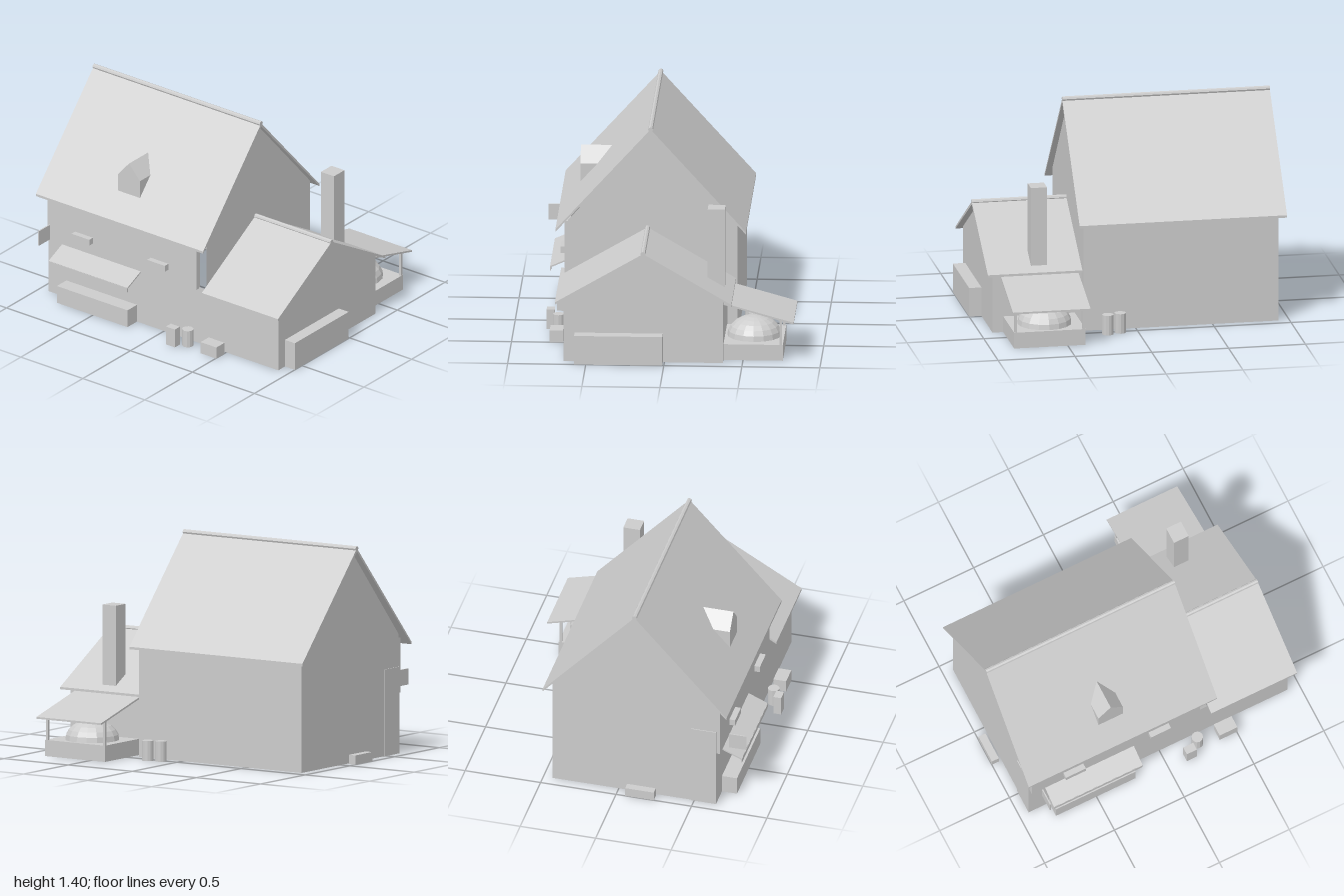
import * as THREE from 'three';

export function createModel() {
  const model = new THREE.Group();
  model.name = 'tavernHouse';
  const clay = new THREE.MeshStandardMaterial({ color: 0xcccccc, flatShading: true, side: THREE.DoubleSide });
  clay.name = 'pale grey clay';

  const add = (name, geometry) => {
    const mesh = new THREE.Mesh(geometry, clay);
    mesh.name = name;
    model.add(mesh);
    return mesh;
  };

  // Box given by its ranges; boxes standing on the ground are open below
  const box = (name, [x0, x1], [y0, y1], [z0, z1]) => {
    const g = new THREE.BoxGeometry(x1 - x0, y1 - y0, z1 - z0);
    if (y0 === 0) {
      const index = Array.from(g.index.array);
      index.splice(18, 6);
      g.setIndex(index);
      g.clearGroups();
    }
    g.translate((x0 + x1) / 2, (y0 + y1) / 2, (z0 + z1) / 2);
    return add(name, g);
  };

  // Solid with a (z, y) profile running along x
  const prism = (name, profile, x0, x1) => {
    const shape = new THREE.Shape(profile.map(([z, y]) => new THREE.Vector2(z, y)));
    const g = new THREE.ExtrudeGeometry(shape, { depth: x1 - x0, bevelEnabled: false });
    g.rotateY(-Math.PI / 2);
    g.translate(x1, 0, 0);
    return add(name, g);
  };

  // Thin convex wall polygon
  const panel = (name, points) => {
    const g = new THREE.BufferGeometry();
    const p = [];
    for (let i = 1; i < points.length - 1; i++) p.push(...points[0], ...points[i], ...points[i + 1]);
    g.setAttribute('position', new THREE.Float32BufferAttribute(p, 3));
    g.computeVertexNormals();
    return add(name, g);
  };

  const gable = (name, x, zBack, zFront, yWall, zRidge, yRidge) =>
    panel(name, [[x, 0, zFront], [x, 0, zBack], [x, yWall, zBack], [x, yRidge, zRidge], [x, yWall, zFront]]);

  const wall = (name, x0, x1, h, z) => {
    const p = [[x0, 0, z], [x1, 0, z], [x1, h, z], [x0, h, z]];
    return panel(name, z > 0 ? p : p.reverse());
  };

  // Folded roof sheet with a round ridge pole
  const roof = (name, x0, x1, zRidge, yRidge, zFront, zBack, yEave, t) => {
    prism(name, [
      [zFront, yEave], [zRidge, yRidge], [zBack, yEave],
      [zBack, yEave - t], [zRidge, yRidge - t * 1.4], [zFront, yEave - t],
    ], x0, x1);
    const g = new THREE.CylinderGeometry(0.016, 0.016, x1 - x0, 8);
    g.rotateZ(Math.PI / 2);
    g.translate((x0 + x1) / 2, yRidge - 0.002, zRidge);
    add(name + 'Ridge', g);
  };

  // Main house: open shell with overhanging upper front
  wall('mainFrontWall', -0.93, 0.34, 0.4, 0.645);
  wall('mainBackWall', -0.93, 0.34, 0.75, -0.44);
  for (const x of [-0.93, 0.34]) {
    panel('mainGable', [[x, 0, 0.645], [x, 0, -0.44], [x, 0.75, -0.44], [x, 1.37, 0.115], [x, 0.77, 0.645]]);
  }
  box('upperFront', [-0.925, 0.28], [0.39, 0.745], [0.635, 0.67]);
  roof('mainRoof', -0.975, 0.375, 0.115, 1.39, 0.725, -0.495, 0.715, 0.016);

  // Side wing
  wall('wingFrontWall', 0.34, 0.92, 0.415, 0.645);
  wall('wingBackWall', 0.34, 0.92, 0.415, -0.375);
  gable('wingGable', 0.92, -0.375, 0.645, 0.415, 0.135, 0.72);
  roof('wingRoof', 0.345, 0.96, 0.135, 0.73, 0.7, -0.43, 0.4, 0.015);
  box('chimney', [0.565, 0.67], [0.4, 0.95], [-0.375, -0.265]);

  // Dormer
  const dormerShape = new THREE.Shape([
    [-0.41, 0.86], [-0.235, 0.86], [-0.235, 0.98], [-0.3225, 1.08], [-0.41, 0.98],
  ].map(([x, y]) => new THREE.Vector2(x, y)));
  const dormer = new THREE.ExtrudeGeometry(dormerShape, { depth: 0.24, bevelEnabled: false });
  dormer.translate(0, 0, 0.355);
  add('dormer', dormer);

  // Front counter with awning, window boxes and hanging board
  box('frontCounter', [-0.79, -0.22], [0, 0.12], [0.645, 0.745]);
  prism('awning', [[0.645, 0.368], [0.785, 0.306], [0.785, 0.296], [0.645, 0.358]], -0.825, -0.19);
  box('awningValance', [-0.825, -0.19], [0.275, 0.304], [0.781, 0.787]);
  for (const x of [-0.7, -0.09]) box('windowBox', [x, x + 0.143], [0.465, 0.507], [0.67, 0.708]);
  box('hangingBoard', [-0.876, -0.868], [0.418, 0.522], [0.715, 0.83]);

  // Side door, step and bench
  box('sideDoor', [-0.936, -0.928], [0, 0.56], [0.48, 0.645]);
  box('sideStep', [-1, -0.95], [0, 0.06], [0.06, 0.25]);
  box('sideBench', [0.92, 1], [0, 0.19], [0.01, 0.575]);

  // Crate, trough and barrels
  box('crate', [0.125, 0.197], [0, 0.128], [0.738, 0.79]);
  box('trough', [0.378, 0.505], [0, 0.08], [0.67, 0.755]);
  for (const [x, z, h] of [[0.24, 0.71, 0.115], [0.115, -0.515, 0.13], [0.2, -0.54, 0.13]]) {
    const g = new THREE.CylinderGeometry(0.037, 0.037, h, 12);
    g.translate(x, h / 2, z);
    add('barrel', g);
  }

  // Outdoor oven under a lean-to
  box('ovenBase', [0.385, 0.85], [0, 0.105], [-0.755, -0.375]);
  const dome = new THREE.SphereGeometry(0.175, 16, 6, 0, Math.PI * 2, 0, Math.PI / 2);
  dome.scale(1, 0.74, 1);
  dome.translate(0.6175, 0.105, -0.563);
  add('ovenDome', dome);
  prism('leanToRoof', [[-0.375, 0.385], [-0.825, 0.26], [-0.825, 0.248], [-0.375, 0.373]], 0.365, 0.87);
  for (const x of [0.395, 0.84]) box('leanToPost', [x - 0.008, x + 0.008], [0, 0.272], [-0.75, -0.734]);

  return model;
}
